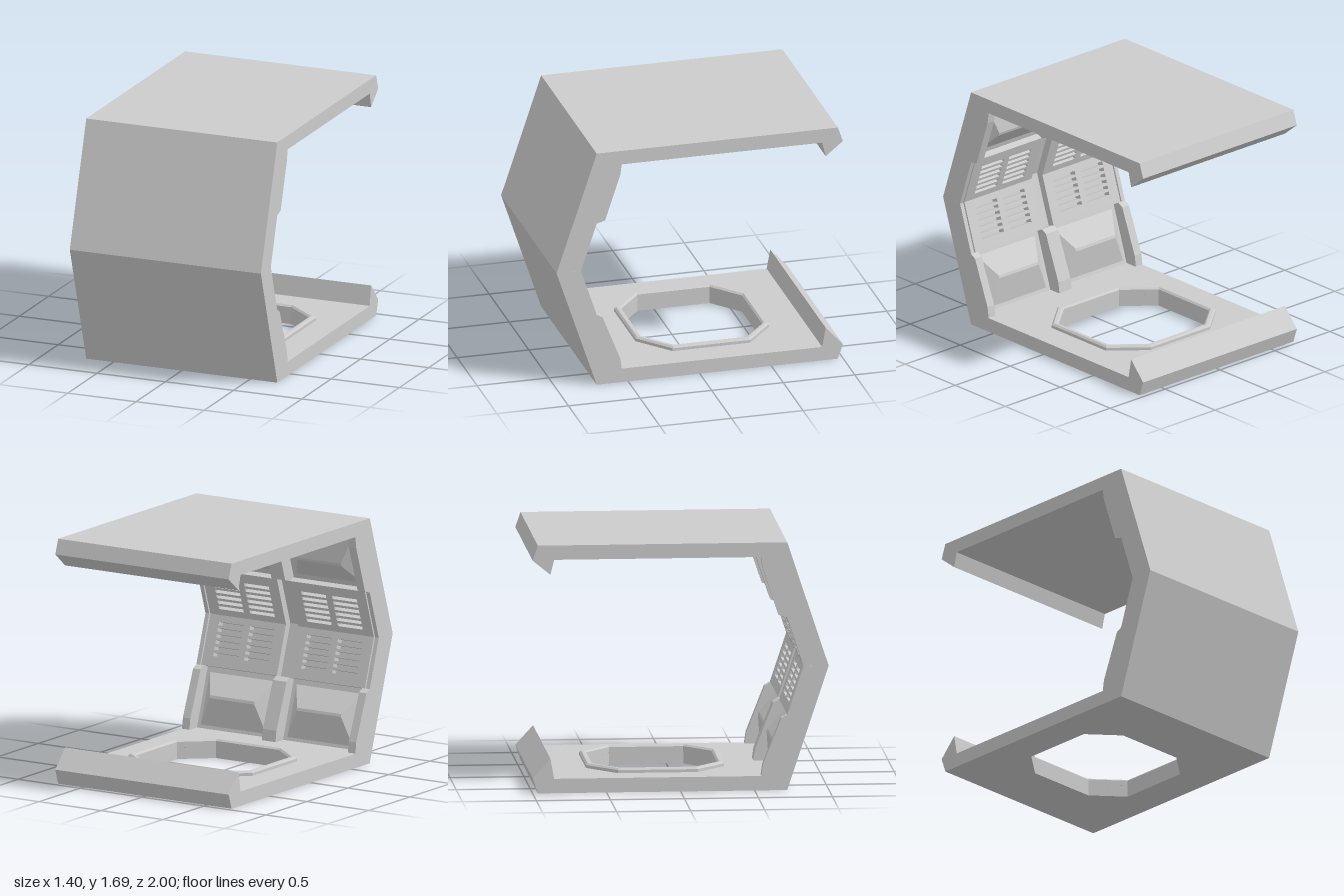
import * as THREE from 'three';
import { ConvexGeometry } from 'three/addons/geometries/ConvexGeometry.js';

const material = new THREE.MeshStandardMaterial({ color: 0xcccccc, flatShading: true });
const HALF = 0.7; // half width of the section
const MID = 0.845; // height of the kink in the wall

function add(parent, name, geometry) {
  const mesh = new THREE.Mesh(geometry, material);
  mesh.name = name;
  parent.add(mesh);
  return mesh;
}

function shapeOf(points) {
  return new THREE.Shape(points.map(([a, b]) => new THREE.Vector2(a, b)));
}

function extrude(shape, depth) {
  return new THREE.ExtrudeGeometry(shape, { depth, bevelEnabled: false });
}

// Extrudes a (z, y) profile across the whole width
function acrossWidth(points) {
  return extrude(shapeOf(points), 2 * HALF).translate(0, 0, -HALF).rotateY(-Math.PI / 2);
}

// Elongated octagon in plan, as (x, -z) points
function octagon(inset) {
  const X = 0.5 - inset, Z = 0.467 - inset, c = 0.27 - inset * 0.41;
  return [[X, c], [c, Z], [-c, Z], [-X, c], [-X, -c], [-c, -Z], [c, -Z], [X, -c]]
    .map(([x, y]) => [x, y + 0.137]);
}

function withHole(outer, inner) {
  const shape = shapeOf(outer);
  shape.holes.push(shapeOf(inner));
  return shape;
}

// Rib: a (v, w) profile, v down the slope and w out of the wall
function ribGeometry(width, top) {
  const profile = [[0.404, 0.09], [0.404, 0.161], [0.438, top], [0.776, 0.211], [0.85, 0.198], [0.86, 0.09]];
  const g = extrude(shapeOf(profile), width).translate(0, 0, -width / 2);
  // cyclic axis swap: (v, w, x) to (x, v, w)
  return g.applyMatrix4(new THREE.Matrix4().set(0, 0, 1, 0, 1, 0, 0, 0, 0, 1, 0, 0, 0, 0, 0, 1));
}

// Panel with two columns of vent slots
function ventPanel() {
  const w = 0.305;
  const shape = shapeOf([[-w, 0.04], [w, 0.04], [w, 0.404], [-w, 0.404]]);
  for (const cx of [-0.125, 0.125]) {
    for (let i = 0; i < 6; i++) {
      const v = 0.1 + i * 0.042;
      shape.holes.push(shapeOf([[cx - 0.1, v], [cx - 0.1, v + 0.024], [cx + 0.1, v + 0.024], [cx + 0.1, v]]));
    }
  }
  return extrude(shape, 0.061);
}

// Raised hipped block between the ribs
function hippedBlock() {
  const points = [];
  for (const s of [-1, 1]) {
    for (const w of [0.09, 0.11]) points.push([s * 0.265, 0.44, w], [s * 0.265, 0.8, w]);
    points.push([s * 0.18, 0.6, 0.19], [s * 0.18, 0.62, 0.19]);
  }
  return new ConvexGeometry(points.map((p) => new THREE.Vector3(...p)));
}

// Inner lining of one sloped half of the wall
function wallLining(name, ribTop) {
  const lining = new THREE.Group();
  lining.name = name;
  const angle = Math.atan2(0.28, MID), s = Math.sin(angle), c = Math.cos(angle);
  const slope = new THREE.Group();
  slope.name = 'slopedWall';
  slope.quaternion.setFromRotationMatrix(new THREE.Matrix4().makeBasis(
    new THREE.Vector3(1, 0, 0), new THREE.Vector3(0, -c, -s), new THREE.Vector3(0, s, -c)));
  slope.position.z = 1;
  lining.add(slope);

  add(slope, 'middleRib', ribGeometry(0.11, ribTop));
  for (const side of [-1, 1]) {
    add(slope, 'endRib', ribGeometry(0.06, ribTop)).position.x = side * (HALF - 0.03);
    add(slope, 'endStrip', new THREE.BoxGeometry(0.03, 0.364, 0.07)).position.set(side * (HALF - 0.015), 0.222, 0.126);
    add(slope, 'ventPanel', ventPanel()).position.set(side * 0.355, 0, 0.1);
    add(slope, 'hippedBlock', hippedBlock()).position.x = side * 0.35;
  }
  return lining;
}

export function createModel() {
  const model = new THREE.Group();
  model.name = 'corridorSection';

  // Outer shell: kinked wall, roof and the hooked edge of the roof
  add(model, 'wallAndRoof', acrossWidth([
    [0.5, 0], [0.72, 0], [1, MID], [0.72, 1.69], [-0.965, 1.69], [-1, 1.588], [-0.88, 1.49],
    [-0.855, 1.592], [0.637, 1.592], [0.884, MID], [0.637, 0.098], [0.5, 0.098],
  ]));
  add(model, 'floorLip', acrossWidth([
    [-0.8, 0], [-0.8, 0.098], [-0.855, 0.098], [-0.88, 0.235], [-1, 0.103], [-0.965, 0],
  ]));

  // Floor with its octagonal opening and raised rim
  const floor = withHole([[-HALF, -0.5], [HALF, -0.5], [HALF, 0.8], [-HALF, 0.8]], octagon(0.045));
  add(model, 'floor', extrude(floor, 0.098).rotateX(-Math.PI / 2));
  const rim = new THREE.ExtrudeGeometry(withHole(octagon(0.012), octagon(0.033)), {
    depth: 0.038, bevelEnabled: true, bevelSize: 0.012, bevelThickness: 0.012, bevelSegments: 1,
  });
  add(model, 'openingRim', rim.rotateX(-Math.PI / 2)).position.y = 0.08;

  // Lining of the lower wall, and the same turned over for the upper wall
  const lower = wallLining('lowerWallLining', 0.192);
  const upper = wallLining('upperWallLining', 0.211);
  upper.rotation.z = Math.PI;
  lower.position.y = upper.position.y = MID;
  model.add(lower, upper);
  return model;
}
